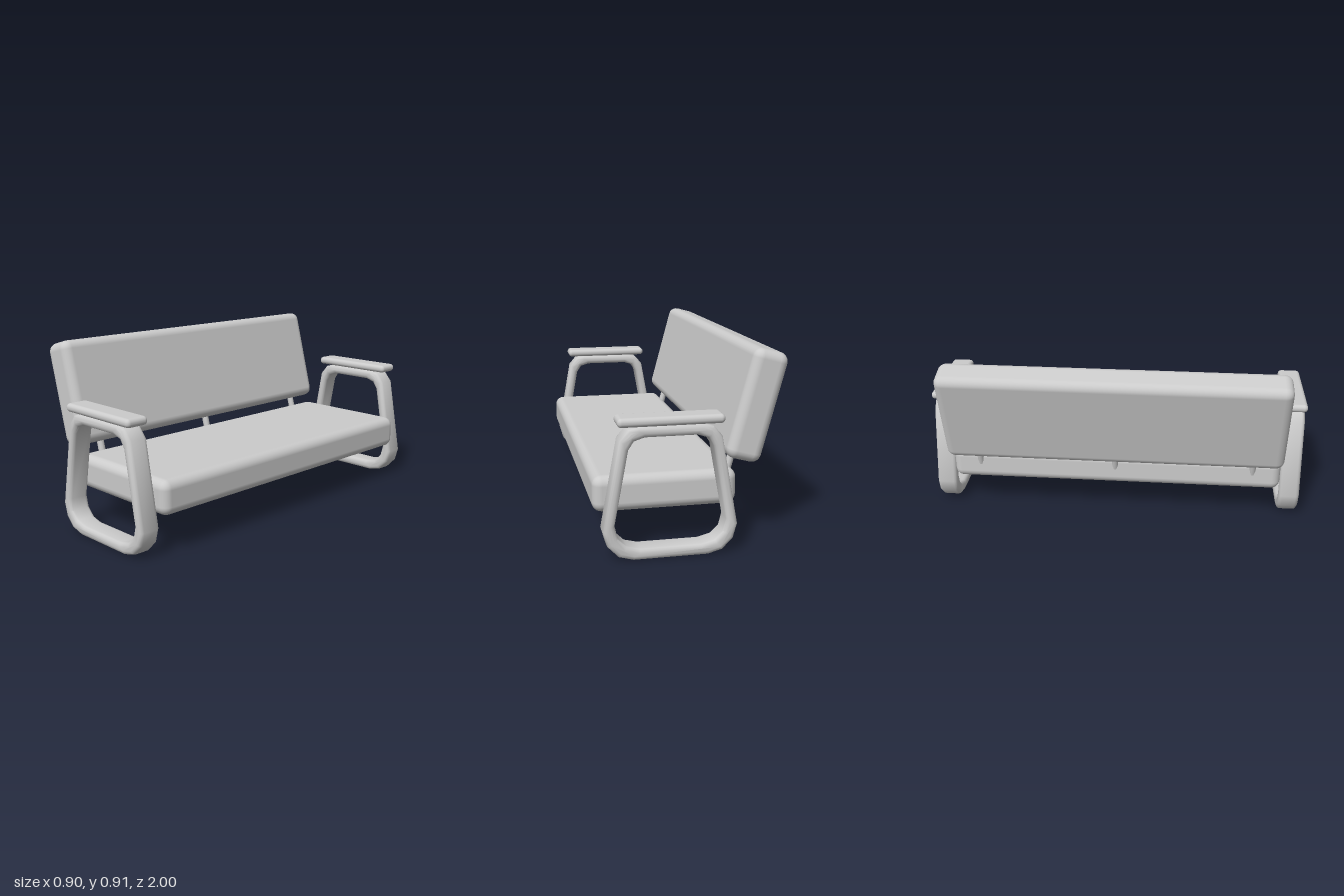
import * as THREE from 'three';
import { RoundedBoxGeometry } from 'three/addons/geometries/RoundedBoxGeometry.js';
import { toCreasedNormals } from 'three/addons/utils/BufferGeometryUtils.js';

const MID_X = 0.115; // centre line of the side frames

export function createModel() {
  const group = new THREE.Group();
  const material = new THREE.MeshStandardMaterial({ color: 0xcccccc });

  const add = (name, geometry, x, y, z) => {
    const mesh = new THREE.Mesh(geometry, material);
    mesh.name = name;
    mesh.position.set(x, y, z);
    group.add(mesh);
    return mesh;
  };

  // Mirrors half an outline, listed from bottom to top, about the centre line
  const loop = (half) => {
    const right = half.map(([x, y]) => new THREE.Vector2(MID_X + x, y));
    const left = half.map(([x, y]) => new THREE.Vector2(MID_X - x, y)).reverse();
    return [...right, ...left];
  };

  // Cushions
  add('seatCushion', new RoundedBoxGeometry(0.67, 0.17, 1.76, 3, 0.045), 0.115, 0.275, 0);
  const back = add('backCushion', new RoundedBoxGeometry(0.17, 0.525, 1.76, 3, 0.045), -0.315, 0.645, 0);
  back.rotation.z = THREE.MathUtils.degToRad(15);

  // Struts joining the back to the seat
  for (const z of [-0.73, 0, 0.73]) {
    const strut = add('backStrut', new THREE.CylinderGeometry(0.018, 0.018, 0.26, 10), -0.228, 0.375, z);
    strut.rotation.z = THREE.MathUtils.degToRad(15);
  }

  // Closed side frame with softened edges
  const outline = new THREE.Shape(loop([
    [0.17, 0.002], [0.237, 0.02], [0.287, 0.072], [0.306, 0.14],
    [0.231, 0.55], [0.19, 0.598], [0.145, 0.61],
  ]));
  outline.holes.push(new THREE.Path(loop([
    [0.14, 0.055], [0.2, 0.07], [0.239, 0.108], [0.253, 0.165],
    [0.19, 0.507], [0.165, 0.545], [0.118, 0.56],
  ])));
  const bevel = 0.02;
  const depth = 0.11;
  const extruded = new THREE.ExtrudeGeometry(outline, {
    depth: depth - 2 * bevel, bevelEnabled: true, bevelSize: bevel,
    bevelThickness: bevel, bevelOffset: -bevel, bevelSegments: 3,
  });
  extruded.translate(0, 0, bevel - depth / 2);
  const frameGeometry = toCreasedNormals(extruded, 0.7);
  const armrestGeometry = new RoundedBoxGeometry(0.48, 0.042, 0.12, 3, 0.02);

  for (const [side, sign] of [['left', 1], ['right', -1]]) {
    add(side + 'SideFrame', frameGeometry, 0, 0, sign * 0.938);
    add(side + 'Armrest', armrestGeometry, MID_X, 0.63, sign * 0.94);
  }
  return group;
}
